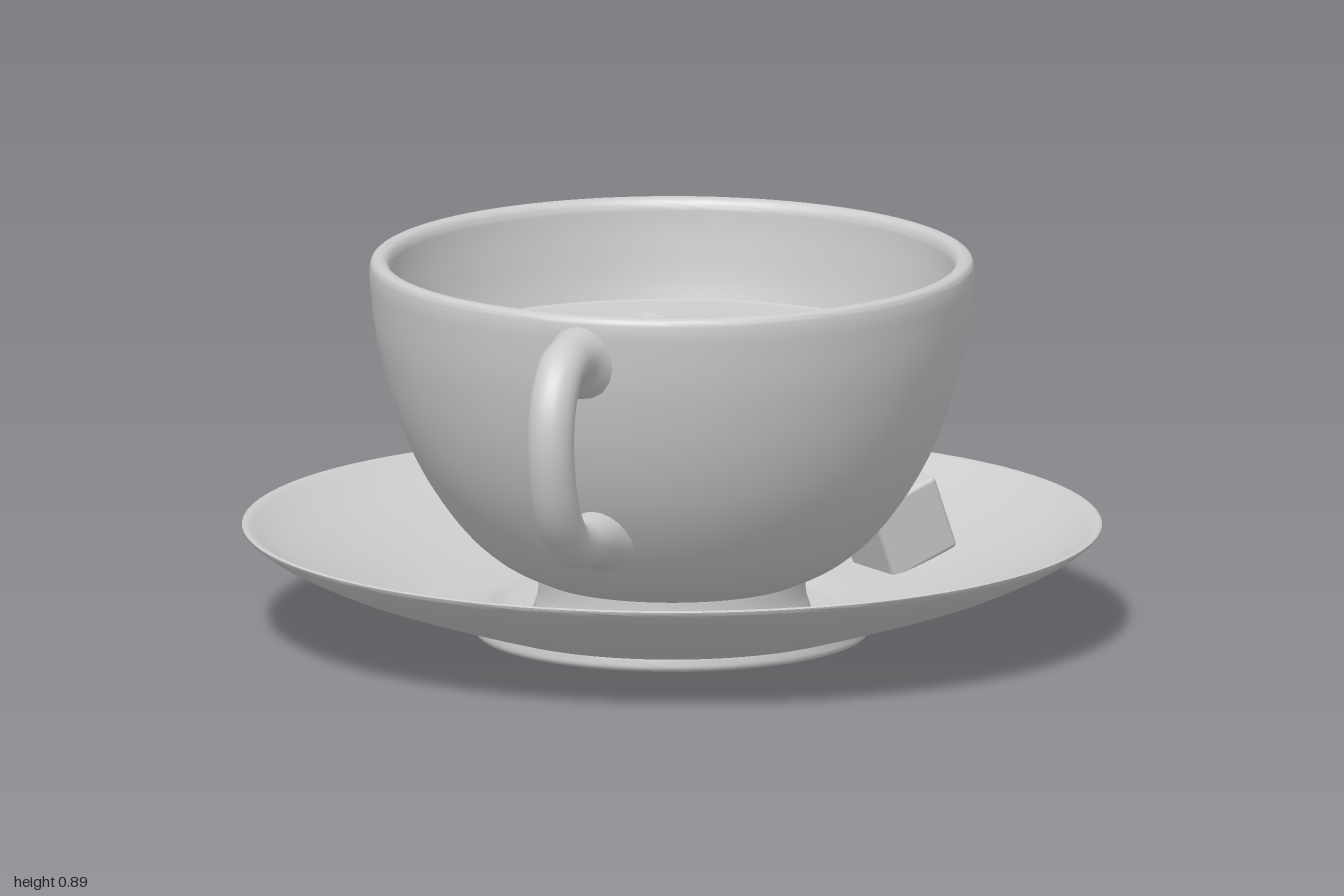
import * as THREE from 'three';
import { toCreasedNormals } from 'three/addons/utils/BufferGeometryUtils.js';
import { RoundedBoxGeometry } from 'three/addons/geometries/RoundedBoxGeometry.js';

const material = new THREE.MeshStandardMaterial({ color: 0xcccccc, roughness: 0.6 });
const thinMaterial = new THREE.MeshStandardMaterial({ color: 0xcccccc, roughness: 0.6, side: THREE.DoubleSide });

const LIQUID_Y = 0.66;
const HANDLE_ANGLE = THREE.MathUtils.degToRad(39.4);

function part(name, geometry, mat = material) {
  const mesh = new THREE.Mesh(geometry, mat);
  mesh.name = name;
  return mesh;
}

// Smooth run of profile points [radius, height]
function smooth(points, count) {
  return new THREE.SplineCurve(points.map(([x, y]) => new THREE.Vector2(x, y))).getPoints(count);
}

// Turned part from several smooth runs; corners between runs stay sharp
function turned(name, ...runs) {
  const points = runs.flat().filter((p, i, all) => i === 0 || p.distanceTo(all[i - 1]) > 1e-5);
  points.forEach((p) => { p.x = Math.max(p.x, 0); });
  return part(name, toCreasedNormals(new THREE.LatheGeometry(points, 96), 0.6));
}

// Tube handle that flares where it joins the cup
function makeHandle() {
  const path = new THREE.CatmullRomCurve3([
    [0.665, 0.79], [0.74, 0.808], [0.83, 0.795], [0.89, 0.725], [0.907, 0.62],
    [0.87, 0.48], [0.79, 0.385], [0.7, 0.352], [0.6, 0.345], [0.52, 0.335],
  ].map(([r, y]) => new THREE.Vector3(r, y, 0)));
  const segments = 64, sides = 20;
  const geometry = new THREE.TubeGeometry(path, segments, 0.055, sides, false);
  const pos = geometry.attributes.position;
  const v = new THREE.Vector3();
  for (let i = 0; i <= segments; i++) {
    const t = i / segments;
    const center = path.getPointAt(t);
    const flare = 1 + 0.75 * Math.max(0, 1 - t / 0.13) ** 2 + 0.5 * Math.max(0, (t - 0.8) / 0.2) ** 2;
    for (let j = 0; j <= sides; j++) {
      const k = i * (sides + 1) + j;
      v.fromBufferAttribute(pos, k).sub(center).multiplyScalar(flare).add(center);
      pos.setXYZ(k, v.x, v.y, v.z);
    }
  }
  geometry.computeVertexNormals();
  const handle = part('handle', geometry);
  handle.rotation.y = Math.PI + HANDLE_ANGLE;
  return handle;
}

// Cupped teardrop petal, its tip along local +x
function makePetal(x, z, dx, dz) {
  const geometry = new THREE.RingGeometry(0.001, 1, 40, 6);
  const pos = geometry.attributes.position;
  for (let i = 0; i < pos.count; i++) {
    const px = pos.getX(i), py = pos.getY(i);
    const r = Math.hypot(px, py);
    const a = Math.atan2(py, px);
    const width = 0.1 * Math.abs(Math.sin(a / 2)) ** 0.6;
    pos.setXYZ(i, 0.118 * px, 0.004 + 0.016 * r * r + 0.008 * px * r, -width * py);
  }
  geometry.computeVertexNormals();
  const petal = part('petal', geometry, thinMaterial);
  petal.position.set(x, LIQUID_Y, z);
  petal.rotation.y = Math.atan2(-dz, dx);
  return petal;
}

// Sugar cube lying on the sloped saucer, placed around the axis
function makeSugarCube(placeAngle, turn) {
  const cube = part('sugarCube', new RoundedBoxGeometry(0.185, 0.185, 0.185, 3, 0.012));
  cube.rotation.order = 'YXZ';
  cube.rotation.set(0, turn, THREE.MathUtils.degToRad(20));
  cube.position.set(0.607 * Math.cos(placeAngle), 0.2, -0.607 * Math.sin(placeAngle));
  return cube;
}

export function createModel() {
  const model = new THREE.Group();
  model.name = 'teacupAndSaucer';

  // Saucer: foot, flared underside, thin rim, sloped top and central well
  model.add(turned('saucer',
    smooth([[0, 0.005], [0.44, 0.005]], 1),
    smooth([[0.44, 0.005], [0.452, 0.006], [0.46, 0.016], [0.457, 0.036]], 8),
    smooth([[0.457, 0.036], [0.6, 0.08], [0.8, 0.148], [0.93, 0.208], [0.99, 0.248], [1, 0.262]], 28),
    smooth([[1, 0.262], [0.993, 0.265], [0.98, 0.26]], 4),
    smooth([[0.98, 0.26], [0.9, 0.215], [0.75, 0.153], [0.6, 0.104], [0.48, 0.088],
      [0.43, 0.08], [0.395, 0.064], [0.36, 0.06]], 36),
    smooth([[0.36, 0.06], [0, 0.06]], 1)));

  // Cup: foot ring, bowl, rounded lip and inner wall
  model.add(turned('cup',
    smooth([[0, 0.055], [0.31, 0.055]], 1),
    smooth([[0.31, 0.055], [0.322, 0.065], [0.312, 0.1], [0.31, 0.14]], 8),
    smooth([[0.31, 0.14], [0.4, 0.185], [0.49, 0.265], [0.58, 0.395], [0.643, 0.54],
      [0.685, 0.7], [0.702, 0.83], [0.703, 0.87]], 36),
    smooth([[0.703, 0.87], [0.699, 0.888], [0.683, 0.896], [0.665, 0.89], [0.657, 0.875]], 12),
    smooth([[0.657, 0.875], [0.65, 0.8], [0.625, 0.66], [0.56, 0.48], [0.42, 0.28], [0.25, 0.2], [0, 0.19]], 32)));

  model.add(makeHandle());

  // Liquid surface, curving up slightly at the wall
  model.add(turned('liquid',
    smooth([[0.632, LIQUID_Y + 0.008], [0.622, LIQUID_Y + 0.002], [0.605, LIQUID_Y]], 6),
    smooth([[0.605, LIQUID_Y], [0, LIQUID_Y]], 1)));

  // Petals: centre x, z and tip direction
  for (const p of [[0.085, -0.24, 0.5, -0.87], [-0.195, 0.03, -0.6, -0.8], [0.235, 0.075, 0.97, -0.22]]) {
    model.add(makePetal(...p));
  }

  // Two sugar cubes leaning against the cup
  model.add(makeSugarCube(-0.015, 0), makeSugarCube(0.385, 0.45));

  // Foot rests on the ground
  model.position.y = -0.005;
  const group = new THREE.Group();
  group.name = 'model';
  group.add(model);
  return group;
}
